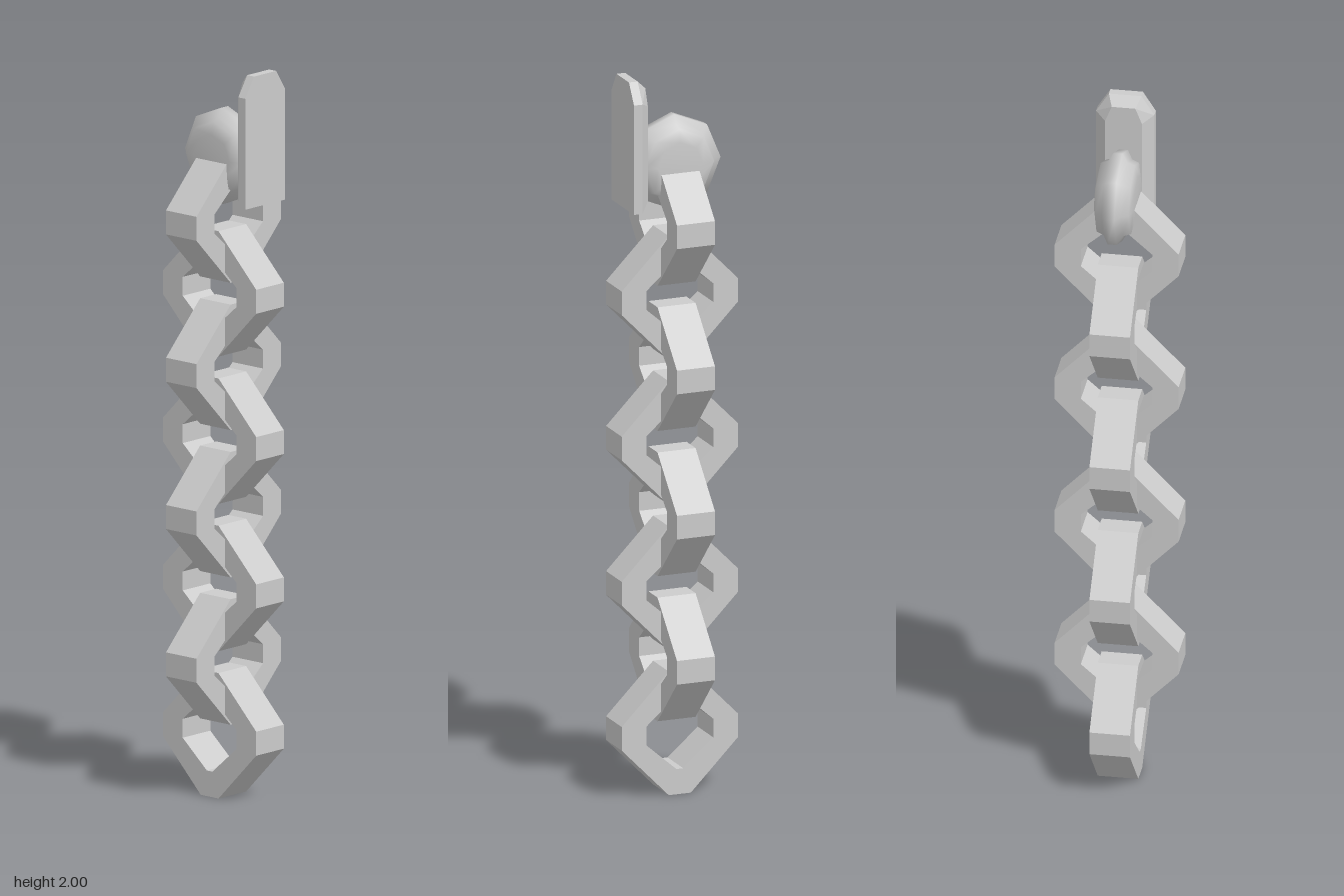
import * as THREE from 'three';
import { ConvexGeometry } from 'three/addons/geometries/ConvexGeometry.js';

const flat = new THREE.MeshStandardMaterial({ color: 0xcccccc, flatShading: true });
const smooth = new THREE.MeshStandardMaterial({ color: 0xcccccc });

const LINKS = 8, PITCH = 0.2025, LINK_HEIGHT = 0.345, LINK_DEPTH = 0.11;

// Elongated octagon, centred on the origin
function octagon(halfTop, halfWidth, halfSide, halfHeight) {
  return [
    [halfTop, -halfHeight], [halfWidth, -halfSide], [halfWidth, halfSide], [halfTop, halfHeight],
    [-halfTop, halfHeight], [-halfWidth, halfSide], [-halfWidth, -halfSide], [-halfTop, -halfHeight],
  ].map(([x, y]) => new THREE.Vector2(x, y));
}

function linkGeometry() {
  const shape = new THREE.Shape(octagon(0.032, 0.168, 0.033, LINK_HEIGHT / 2));
  shape.holes.push(new THREE.Path(octagon(0.01, 0.097, 0.026, 0.102)));
  return new THREE.ExtrudeGeometry(shape, { depth: LINK_DEPTH, bevelEnabled: false })
    .translate(0, 0, -LINK_DEPTH / 2);
}

// Plate: full outline on the outer side, bevelled in towards the ball
function plateGeometry() {
  const points = [];
  const addOutline = (x, halfZ, bottom, shoulder, halfTop, top) => {
    for (const s of [-1, 1]) {
      points.push(
        new THREE.Vector3(x, bottom, s * halfZ),
        new THREE.Vector3(x, shoulder, s * halfZ),
        new THREE.Vector3(x, top, s * halfTop));
    }
  };
  addOutline(0.145, 0.079, 1.64, 1.945, 0.044, 2.0);
  addOutline(0.12, 0.079, 1.64, 1.945, 0.044, 2.0);
  addOutline(0.093, 0.05, 1.665, 1.93, 0.032, 1.975);
  return new ConvexGeometry(points);
}

// Flattened eight-sided ball with a raised rim, turned about the z axis
function ballGeometry() {
  const profile = [
    [0, -0.054], [0.065, -0.054], [0.1, -0.046], [0.108, -0.026], [0.133, -0.012],
    [0.133, 0.012], [0.108, 0.026], [0.1, 0.046], [0.065, 0.054], [0, 0.054],
  ].map(([r, y]) => new THREE.Vector2(r, y));
  return new THREE.LatheGeometry(profile, 8).rotateX(Math.PI / 2);
}

export function createModel() {
  const model = new THREE.Group();
  model.name = 'chain';

  // Links, each turned a quarter from the one below
  const link = linkGeometry();
  for (let i = 0; i < LINKS; i++) {
    const mesh = new THREE.Mesh(link, flat);
    mesh.name = `chainLink${i + 1}`;
    mesh.position.y = LINK_HEIGHT / 2 + i * PITCH;
    mesh.rotation.y = (i % 2) * Math.PI / 2;
    model.add(mesh);
  }

  // Mount at the top
  const ball = new THREE.Mesh(ballGeometry(), smooth);
  ball.name = 'mountingBall';
  ball.position.set(0, 1.753, -0.006);
  model.add(ball);

  const plate = new THREE.Mesh(plateGeometry(), flat);
  plate.name = 'wallPlate';
  plate.position.z = -0.006;
  model.add(plate);

  return model;
}
